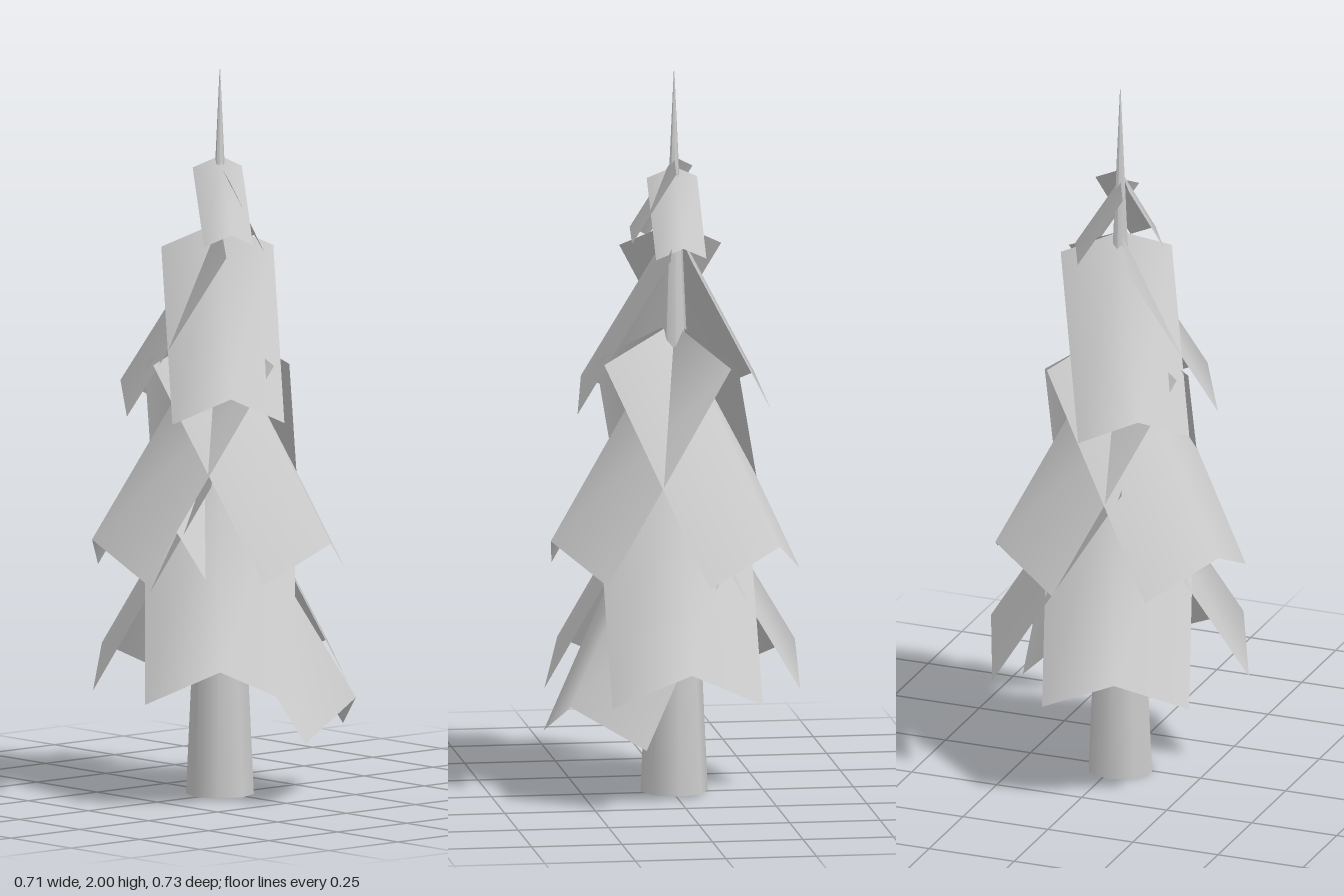
import * as THREE from 'three';

const material = new THREE.MeshStandardMaterial({ color: 0xcccccc, side: THREE.DoubleSide });
const AXIS_X = -0.007, AXIS_Z = 0.017;

// A drooping sheet of needles: starts on the trunk axis, slopes outward along +z,
// and is folded along its centre line so both sides hang lower.
function boughGeometry(reach) {
  const drop = reach * 1.58, halfWidth = reach * 0.54, back = reach * 0.235, sag = reach * 0.27;
  const points = [];
  for (const t of [0, 1]) {
    for (const side of [-1, 0, 1]) {
      const fold = Math.abs(side);
      points.push(side * halfWidth, -drop * t - sag * fold, reach * t - back * fold);
    }
  }
  const geometry = new THREE.BufferGeometry();
  geometry.setAttribute('position', new THREE.Float32BufferAttribute(points, 3));
  geometry.setIndex([0, 3, 1, 1, 3, 4, 1, 4, 2, 2, 4, 5]);
  geometry.computeVertexNormals();
  return geometry;
}

// Tiers from the ground up; each bough is [heading in degrees from the front, tip height, reach]
const tiers = {
  bottomBough: [[-71, 0.39, 0.372], [49, 0.39, 0.379], [179, 0.39, 0.383], [124.4, 0.28, 0.384]],
  middleBough: [[-21.9, 0.72, 0.37], [-136.5, 0.72, 0.368], [104.6, 0.72, 0.366]],
  upperBough: [[-58.6, 1.13, 0.285], [55, 1.13, 0.285]],
  topBough: [[183, 1.53, 0.13], [63, 1.56, 0.128]],
};

export function createModel() {
  const tree = new THREE.Group();
  tree.name = 'conifer';

  // Trunk tapering to a point above the boughs
  const trunk = new THREE.Mesh(new THREE.CylinderGeometry(0.001, 0.093, 2, 8), material);
  trunk.name = 'trunk';
  trunk.position.set(AXIS_X, 1, AXIS_Z);
  tree.add(trunk);

  // Boughs
  for (const [name, boughs] of Object.entries(tiers)) {
    boughs.forEach(([heading, tipHeight, reach], i) => {
      const bough = new THREE.Mesh(boughGeometry(reach), material);
      bough.name = `${name}${i + 1}`;
      bough.position.set(AXIS_X, tipHeight + reach * 1.58, AXIS_Z);
      bough.rotation.y = THREE.MathUtils.degToRad(heading);
      tree.add(bough);
    });
  }
  return tree;
}
